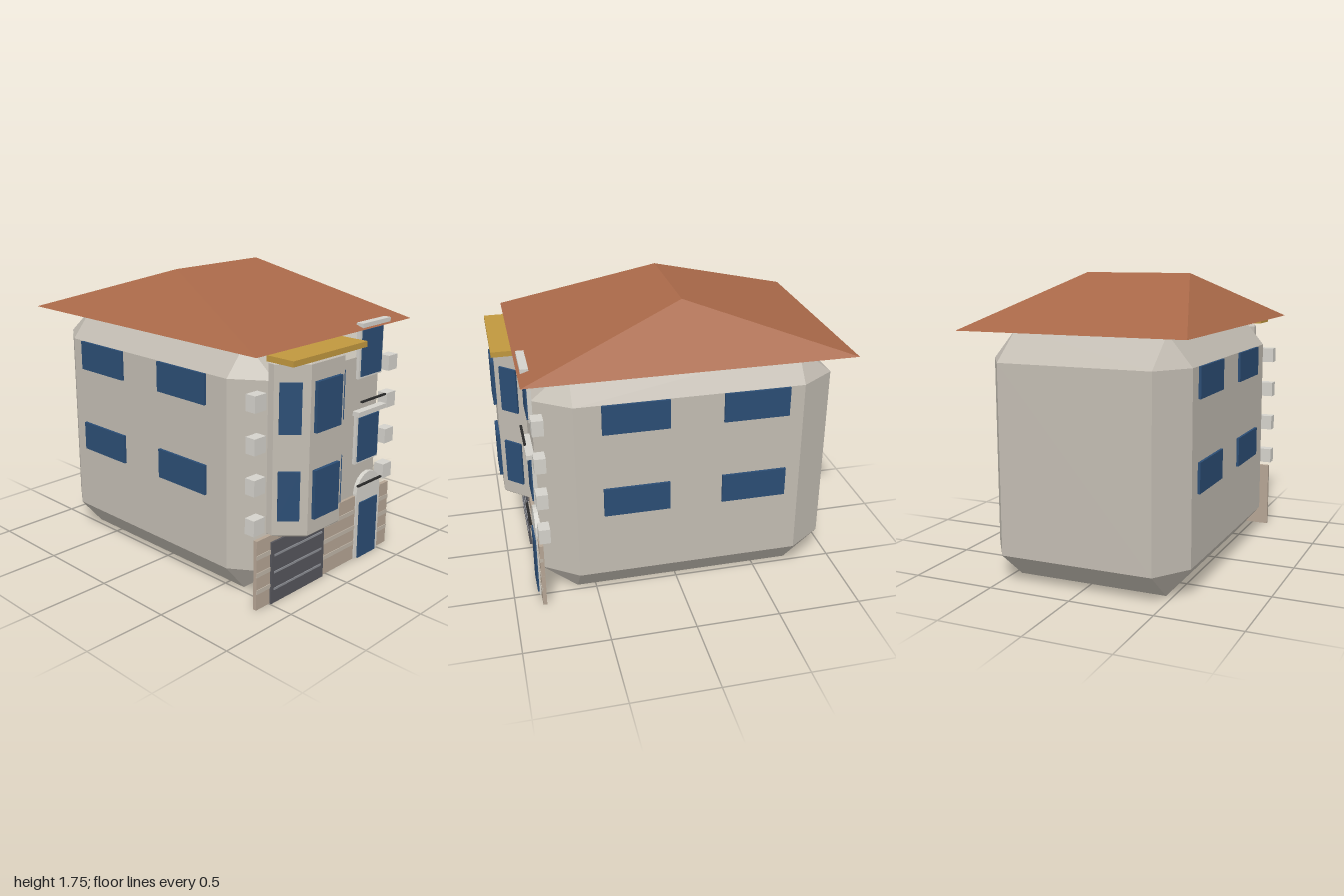
import * as THREE from 'three';
import { ConvexGeometry } from 'three/addons/geometries/ConvexGeometry.js';

const mat = (color) => new THREE.MeshStandardMaterial({ color, flatShading: true });
const M = {
  wall: mat(0xc2bcb2), stone: mat(0xb5a594), band: mat(0xc0b6a8), trim: mat(0xd4d2cb),
  roof: mat(0xa86848), glass: mat(0x2b4d74), garage: mat(0x56565c), slat: mat(0x8a8c92),
  gold: mat(0xc0973e), iron: mat(0x2a2a2a),
};

export function createModel() {
  const house = new THREE.Group();
  house.name = 'townhouse';

  const add = (name, geometry, material) => {
    const mesh = new THREE.Mesh(geometry, material);
    mesh.name = name;
    house.add(mesh);
    return mesh;
  };
  // Box given by its extents on each axis
  const box = (name, material, [x0, x1], [y0, y1], [z0, z1]) => {
    const mesh = add(name, new THREE.BoxGeometry(x1 - x0, y1 - y0, z1 - z0), material);
    mesh.position.set((x0 + x1) / 2, (y0 + y1) / 2, (z0 + z1) / 2);
    return mesh;
  };

  // Main body: a box with every edge chamfered by 12 percent
  const half = [0.605, 0.725, 0.875];
  const corners = [];
  for (const sx of [-1, 1]) for (const sy of [-1, 1]) for (const sz of [-1, 1]) {
    for (let full = 0; full < 3; full++) {
      const p = [sx, sy, sz].map((s, i) => s * half[i] * (i === full ? 1 : 0.76));
      corners.push(new THREE.Vector3(p[0], p[1] + 0.725, p[2] - 0.055));
    }
  }
  add('body', new ConvexGeometry(corners), M.wall);

  // Hipped roof
  const roofPoints = [];
  for (const s of [-1, 1]) {
    roofPoints.push(
      new THREE.Vector3(s * 0.675, 1.45, -1),
      new THREE.Vector3(s * 0.675, 1.45, 0.885),
      new THREE.Vector3(s * 0.338, 1.75, -0.058));
  }
  add('roof', new ConvexGeometry(roofPoints), M.roof);

  // Stone ground floor front with lighter courses
  box('groundFloorFront', M.stone, [-0.605, 0.605], [0, 0.415], [0.815, 0.838]);
  for (const y of [0.11, 0.212, 0.317]) {
    box('stoneCourse', M.band, [-0.605, 0.605], [y - 0.013, y + 0.013], [0.82, 0.842]);
  }

  // Garage door
  box('garageDoor', M.garage, [-0.495, -0.04], [0, 0.375], [0.82, 0.85]);
  for (const y of [0.088, 0.19, 0.294]) {
    box('garageSlat', M.slat, [-0.475, -0.063], [y - 0.006, y + 0.006], [0.84, 0.855]);
  }

  // Entrance with arched surround
  const arch = new THREE.Shape();
  arch.moveTo(0.267, 0);
  arch.lineTo(0.503, 0);
  for (let i = 0; i <= 8; i++) {
    const a = (i / 8) * Math.PI;
    arch.lineTo(0.385 + 0.118 * Math.cos(a), 0.425 + 0.122 * Math.sin(a));
  }
  const surround = new THREE.ExtrudeGeometry(arch, { depth: 0.03, bevelEnabled: false });
  add('doorSurround', surround, M.trim).position.z = 0.816;
  box('frontDoor', M.glass, [0.296, 0.472], [0, 0.366], [0.83, 0.855]);

  // Bay: splayed plan extruded upwards with a slight bevel
  const plan = new THREE.Shape([[-0.48, 0.81], [-0.48, 0.835], [-0.352, 0.97], [-0.082, 0.97],
    [0.042, 0.835], [0.042, 0.81]].map(([x, z]) => new THREE.Vector2(x, -z)));
  const bay = new THREE.ExtrudeGeometry(plan, {
    depth: 0.96, bevelThickness: 0.01, bevelSize: 0.01, bevelSegments: 1,
  });
  bay.rotateX(-Math.PI / 2);
  add('bay', bay, M.wall).position.y = 0.415;
  box('bayCornice', M.gold, [-0.527, 0.09], [1.395, 1.427], [0.82, 1]);

  // Bay windows: one in front and one on each splayed side, on two floors
  for (const y of [0.505, 0.998]) {
    box('bayFrontWindow', M.glass, [-0.325, -0.115], [y, y + 0.282], [0.97, 1]);
    for (const s of [-1, 1]) {
      const side = box('baySideWindow', M.glass, [-0.06, 0.06], [y, y + 0.282], [-0.012, 0.012]);
      side.position.x = -0.219 + s * 0.212;
      side.position.z = 0.905;
      side.rotation.y = s * 0.83;
    }
  }

  // Framed windows above the entrance, with hoods and rails
  for (const y of [0.635, 1.16]) {
    box('windowFrame', M.trim, [0.245, 0.472], [y - 0.013, y + 0.295], [0.815, 0.838]);
    box('framedWindow', M.glass, [0.264, 0.455], [y, y + 0.274], [0.825, 0.847]);
    box('windowHood', M.trim, [0.227, 0.494], [y + 0.293, y + 0.321], [0.822, 0.868]);
    box('windowRail', M.iron, [0.241, 0.477], [y - 0.147, y - 0.137], [0.862, 0.876]);
  }

  // Corner stones and side windows, mirrored
  for (const s of [-1, 1]) {
    for (const y of [0.495, 0.725, 0.955, 1.187]) {
      const stone = box('cornerStone', M.trim, [-0.043, 0.043], [y - 0.046, y + 0.046], [0.772, 0.838]);
      stone.position.x = s * 0.587;
    }
    for (const y of [0.663, 1.187]) for (const z of [0.262, -0.437]) {
      const pane = box('sideWindow', M.glass, [-0.012, 0.012], [y - 0.088, y + 0.088], [z - 0.193, z + 0.193]);
      pane.position.x = s * 0.608;
    }
  }
  return house;
}
